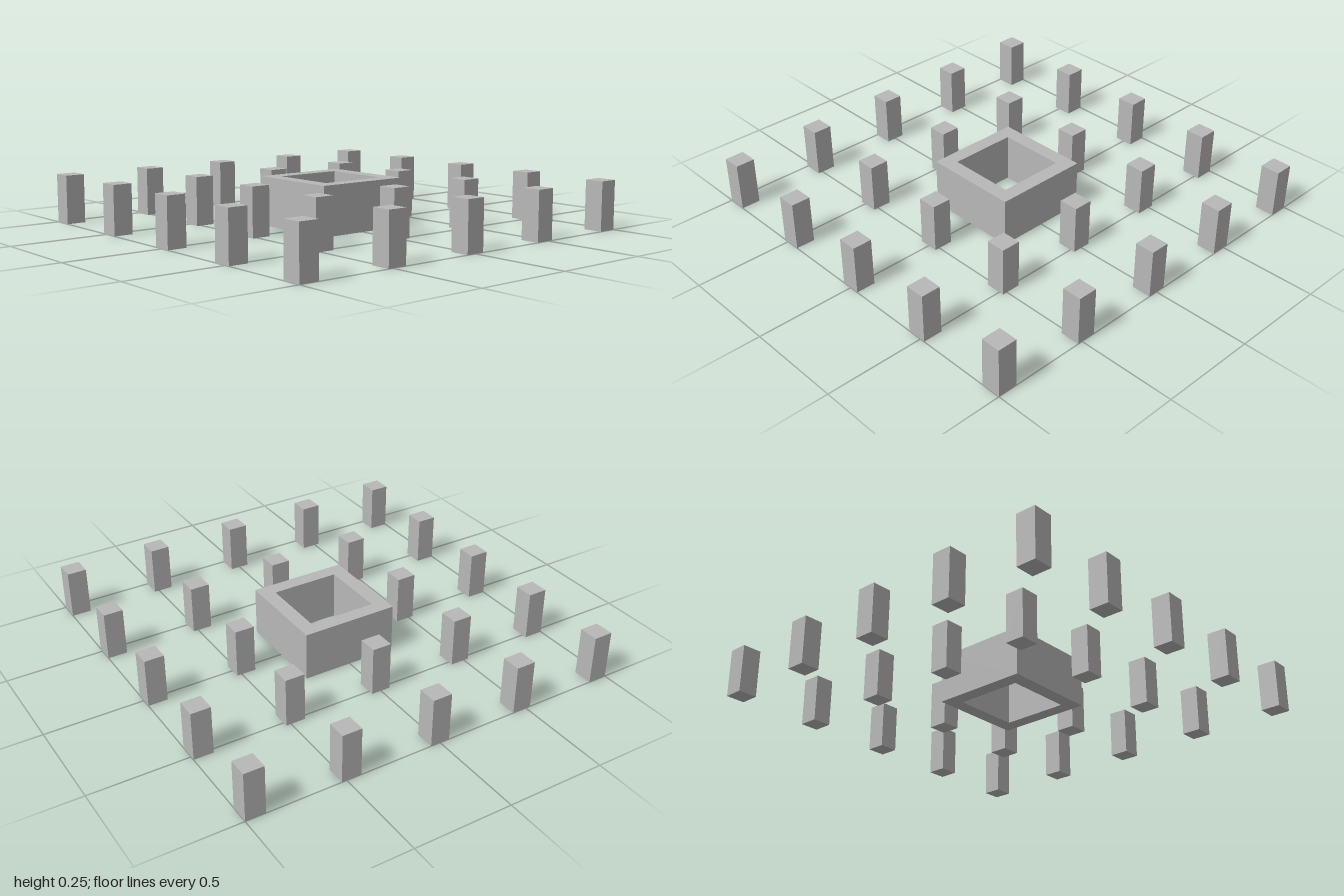
import * as THREE from 'three';

const HEIGHT = 0.25;

export function createModel() {
  const model = new THREE.Group();
  const stone = new THREE.MeshStandardMaterial({ color: 0xb8b8b8 });
  stone.name = 'grey stone';

  // Grid of square posts around the open middle
  const postGeometry = new THREE.BoxGeometry(0.1, HEIGHT, 0.1);
  const posts = new THREE.Group();
  posts.name = 'posts';
  const spacing = 0.475;
  for (let row = -2; row <= 2; row++) {
    for (let column = -2; column <= 2; column++) {
      if (row === 0 && column === 0) continue;
      const post = new THREE.Mesh(postGeometry, stone);
      post.name = 'post';
      post.position.set(column * spacing, HEIGHT / 2, row * spacing);
      posts.add(post);
    }
  }
  model.add(posts);

  // Square central wall, open through the top and bottom
  const square = (Type, half) => new Type([
    new THREE.Vector2(-half, -half),
    new THREE.Vector2(half, -half),
    new THREE.Vector2(half, half),
    new THREE.Vector2(-half, half),
  ]);
  const outline = square(THREE.Shape, 0.25);
  outline.holes.push(square(THREE.Path, 0.175));
  const wallGeometry = new THREE.ExtrudeGeometry(outline, { depth: HEIGHT, bevelEnabled: false });
  wallGeometry.rotateX(-Math.PI / 2);
  const wall = new THREE.Mesh(wallGeometry, stone);
  wall.name = 'centralWall';
  model.add(wall);

  return model;
}
